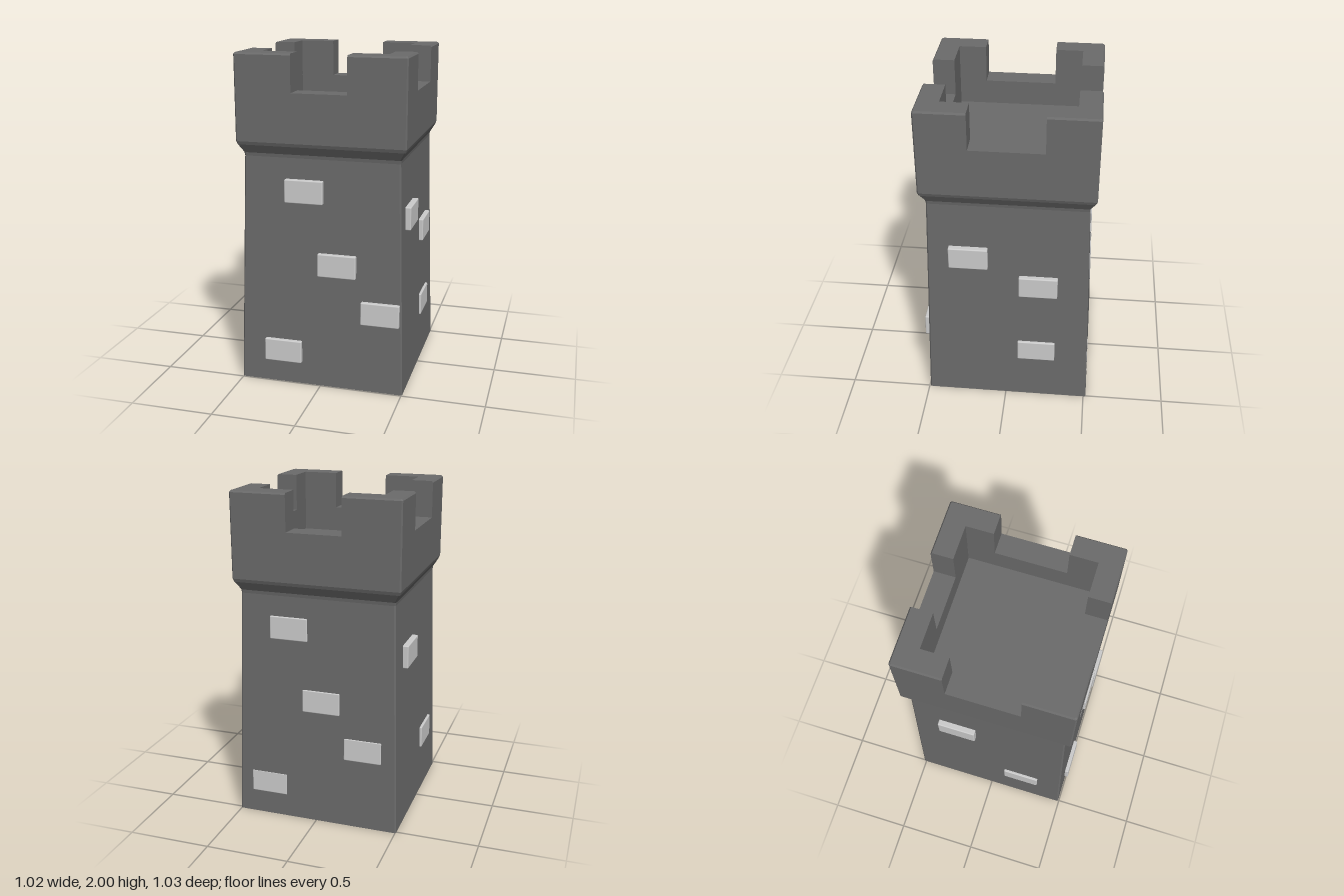
import * as THREE from 'three';
import { RoundedBoxGeometry } from 'three/addons/geometries/RoundedBoxGeometry.js';

const stone = new THREE.MeshStandardMaterial({ color: 0x6b6b6b, flatShading: true });
const brickStone = new THREE.MeshStandardMaterial({ color: 0xcccccc });

const OUTER = 0.505, INNER = 0.375, CENTRE_Z = -0.011;

// Joins rings of [x, z] points at given heights and closes the ends asked for.
function loft(rings, closeBottom, closeTop) {
  const pos = [];
  const put = (ring, i) => pos.push(ring.pts[i][0], ring.y, ring.pts[i][1]);
  const n = rings[0].pts.length;
  for (let r = 0; r + 1 < rings.length; r++) {
    const lo = rings[r], hi = rings[r + 1];
    for (let i = 0; i < n; i++) {
      const j = (i + 1) % n;
      put(lo, i); put(lo, j); put(hi, j);
      put(lo, i); put(hi, j); put(hi, i);
    }
  }
  const cap = (ring, up) => {
    const outline = ring.pts.map(([x, z]) => new THREE.Vector2(x, -z));
    for (const [a, b, c] of THREE.ShapeUtils.triangulateShape(outline, [])) {
      for (const i of up ? [a, b, c] : [a, c, b]) put(ring, i);
    }
  };
  if (closeBottom) cap(rings[0], false);
  if (closeTop) cap(rings[rings.length - 1], true);
  const geo = new THREE.BufferGeometry();
  geo.setAttribute('position', new THREE.Float32BufferAttribute(pos, 3));
  geo.computeVertexNormals();
  return geo;
}

// Square with slightly chamfered corners
function square(h, c) {
  const k = h - c;
  return [[k, h], [h, k], [h, -k], [k, -h], [-k, -h], [-h, -k], [-h, k], [-k, h]];
}

// L-shaped corner block; sx and sz choose the corner
function cornerOutline(o, sx, sz) {
  const k = o - 0.008;
  const pts = [
    [k, o], [o, k], [o, 0.213], [INNER, 0.213],
    [INNER, INNER], [0.165, INNER], [0.165, o],
  ].map(([x, z]) => [x * sx, z * sz]);
  return sx * sz < 0 ? pts.reverse() : pts;
}

function mesh(name, geo, mat) {
  const m = new THREE.Mesh(geo, mat);
  m.name = name;
  return m;
}

export function createModel() {
  const model = new THREE.Group();
  model.name = 'castleTower';

  const masonry = new THREE.Group();
  masonry.name = 'masonry';
  masonry.position.z = CENTRE_Z;
  model.add(masonry);

  // Tapered shaft, flared parapet, and the sunken roof deck
  const profile = [
    [OUTER, 0], [0.466, 1.4], [0.469, 1.42], [0.498, 1.47], [OUTER, 1.49],
    [OUTER, 1.78], [INNER, 1.78], [INNER, 1.63],
  ];
  const rings = profile.map(([h, y]) => ({ y, pts: square(h, h === INNER ? 0.001 : 0.008) }));
  masonry.add(mesh('towerBody', loft(rings, true, true), stone));

  // Four corner battlements with a softened outer top edge
  for (const sx of [1, -1]) {
    for (const sz of [1, -1]) {
      const block = [[OUTER, 1.78], [OUTER, 1.99], [OUTER - 0.008, 2]]
        .map(([o, y]) => ({ y, pts: cornerOutline(o, sx, sz) }));
      const name = `battlement${sz > 0 ? 'Front' : 'Back'}${sx > 0 ? 'Left' : 'Right'}`;
      masonry.add(mesh(name, loft(block, false, true), stone));
    }
  }

  // Raised bricks: [along the wall, height], seen facing each wall
  const walls = [
    { name: 'frontBricks', turn: 0, lean: true,
      at: [[-0.1, 1.207], [0.1, 0.772], [0.364, 0.497], [-0.233, 0.207]] },
    { name: 'backBricks', turn: Math.PI, lean: true,
      at: [[-0.172, 1.207], [0.028, 0.772], [0.288, 0.497], [-0.305, 0.207]] },
    { name: 'leftBricks', turn: Math.PI / 2, lean: false,
      at: [[-0.22, 1.05], [0.195, 0.862], [0.19, 0.363]] },
    { name: 'rightBricks', turn: -Math.PI / 2, lean: false,
      at: [[-0.205, 1.05], [0.21, 0.363]] },
  ];
  const brickGeo = new RoundedBoxGeometry(0.232, 0.14, 0.06, 2, 0.007);
  for (const { name, turn, lean, at } of walls) {
    const wall = new THREE.Group();
    wall.name = name;
    wall.rotation.y = turn;
    for (const [x, y] of at) {
      const brick = mesh('brick', brickGeo, brickStone);
      const face = lean ? 0.516 - 0.0215 * y : 0.508;
      brick.position.set(x, y, face - 0.03);
      if (lean) brick.rotation.x = -0.026;
      wall.add(brick);
    }
    model.add(wall);
  }
  return model;
}
